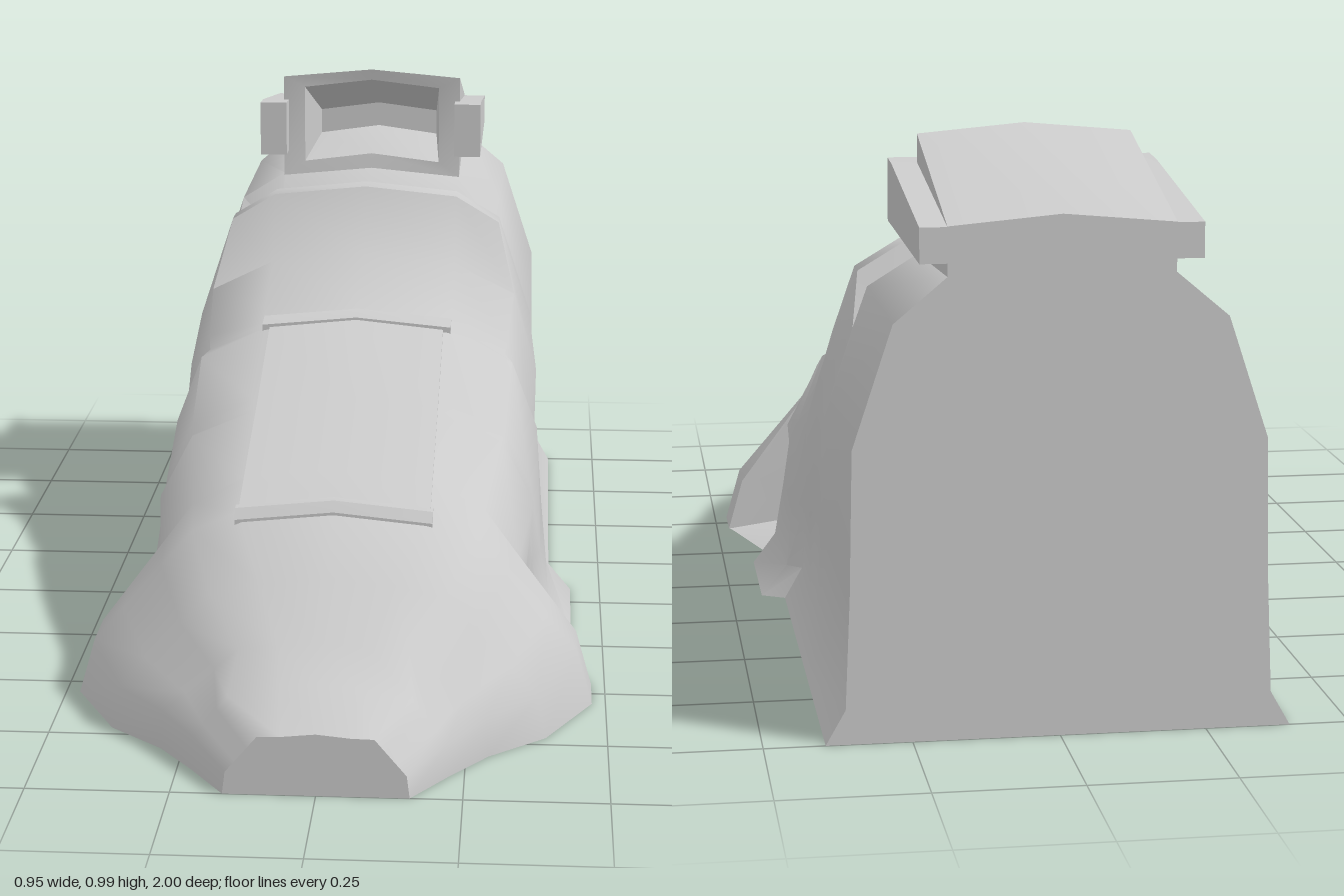
import * as THREE from 'three';
import { toCreasedNormals } from 'three/addons/utils/BufferGeometryUtils.js';

const material = new THREE.MeshStandardMaterial({ color: 0xcccccc });

// Skin a list of rings ({ z, pts }, counterclockwise seen from the front) and cap both ends.
function loft(rings, crease) {
  const n = rings[0].pts.length;
  const pos = [], index = [];
  for (const { z, pts } of rings) for (const [x, y] of pts) pos.push(x, y, z);
  for (let r = 0; r < rings.length - 1; r++) {
    for (let i = 0; i < n; i++) {
      const a = r * n + i, b = r * n + (i + 1) % n;
      index.push(a, a + n, b + n, a, b + n, b);
    }
  }
  const cap = (r, flip) => {
    const contour = rings[r].pts.map(p => new THREE.Vector2(p[0], p[1]));
    for (const [a, b, c] of THREE.ShapeUtils.triangulateShape(contour, [])) {
      const o = r * n;
      index.push(o + a, o + (flip ? c : b), o + (flip ? b : c));
    }
  };
  cap(0, false);
  cap(rings.length - 1, true);
  const geo = new THREE.BufferGeometry();
  geo.setAttribute('position', new THREE.Float32BufferAttribute(pos, 3));
  geo.setIndex(index);
  return toCreasedNormals(geo, crease);
}

// Complete a +x half profile (bottom to top centre) with its mirror image.
const ring = (z, ...half) => ({
  z, pts: [...half, ...half.slice(0, -1).reverse().map(([x, y]) => [-x, y])],
});

// Hull section: skirt base, flare, two flank points bowed out between flare and
// shoulder, shoulder, roof edge and roof crown.
function hullRing(z, base, [fx, fy], [sx, sy], edge, top, bow) {
  const flank = (t, k) => [
    THREE.MathUtils.lerp(fx, sx, t) + bow * k * (sy - fy),
    THREE.MathUtils.lerp(fy, sy, t),
  ];
  return ring(z, [base, 0], [fx, fy], flank(.3, .025), flank(.68, .065),
    [sx, sy], [edge, top - edge * .1], [0, top]);
}

function createHull() {
  // z, base half width, flare x, y, shoulder x, y, roof edge x, crown height
  const nose = [
    [1.00, .16, .155, .04, .10, .105, .06, .112],
    [0.90, .225, .22, .06, .16, .138, .07, .163],
    [0.81, .29, .285, .07, .15, .19, .08, .205],
    [0.72, .39, .375, .08, .21, .26, .12, .292],
    [0.55, .475, .445, .105, .26, .32, .175, .375],
    [0.45, .475, .445, .105, .27, .34, .177, .406],
  ].map(([z, base, fx, fy, sx, sy, edge, top]) =>
    hullRing(z, base, [fx, fy], [sx, sy], edge, top, 0));

  // Side notch behind the fender: z, base, shoulder x, y, crown
  const notch = [
    [0.445, .47, .27, .34, .407],
    [0.215, .40, .30, .40, .471],
  ].map(([z, base, sx, sy, top]) =>
    hullRing(z, base, [.343, .02], [sx, sy], .18, top, 2));

  // Side panels: z, base, flare x, shoulder x, y, crown
  const panels = [
    [0.205, .405, .375, .30, .40, .474],
    [0.17, .44, .395, .305, .41, .482],
    [-0.08, .44, .39, .315, .48, .562],
  ].map(([z, base, fx, sx, sy, top]) =>
    hullRing(z, base, [fx, .06], [sx, sy], .185, top, 1));

  // Rear body with the roof ridge and groove: z, shoulder x, y, crown
  const rear = [
    [-0.105, .30, .49, .566],
    [-0.14, .305, .51, .59],
    [-0.30, .315, .57, .65],
    [-0.375, .28, .705, .778],
    [-0.43, .28, .705, .778],
    [-0.485, .295, .61, .66],
    [-0.60, .28, .705, .78],
    [-1.00, .28, .71, .805],
  ].map(([z, sx, sy, top]) =>
    hullRing(z, .396, [.362, .06], [sx, sy], .19, top, 1));

  return loft(nose.concat(notch, panels, rear), 0.9);
}

export function createModel() {
  const model = new THREE.Group();
  model.name = 'vehicleShell';
  const add = (name, geo) => {
    const mesh = new THREE.Mesh(geo, material);
    mesh.name = name;
    model.add(mesh);
  };

  add('hull', createHull());

  // Canopy panel following the sloping roof, with a raised lip at each end
  const strip = (w, z, top) => ring(z, [w, top - .07], [w, top - .018], [0, top]);
  add('canopyPanel', loft([
    strip(.175, 0.54, .384), strip(.175, 0.45, .412),
    strip(.175, 0.20, .481), strip(.175, -0.07, .566),
  ], 0.4));
  add('canopyFrontLip', loft([
    strip(.18, 0.575, .368), strip(.18, 0.56, .386), strip(.18, 0.543, .387),
  ], 0.4));
  add('canopyRearLip', loft([
    strip(.19, -0.073, .57), strip(.19, -0.10, .573), strip(.19, -0.12, .577),
  ], 0.4));

  // Intake hood: one skin from the cavity's back wall, round the rim, to the outer rear
  const mouth = (z, w, bottom, top) => ({
    z,
    pts: [[0, bottom + .018], [w, bottom], [w, top - .017], [0, top],
      [-w, top - .017], [-w, bottom]],
  });
  add('intakeHood', loft([
    mouth(-0.88, .13, .80, .87),
    mouth(-0.60, .145, .788, .967),
    mouth(-0.595, .19, .757, .99),
    mouth(-1.00, .19, .785, .886),
  ], 0.6));

  // Tapering side rails beside the hood
  for (const side of [1, -1]) {
    const rail = (z, y0, y1) => {
      const x0 = side * .208 - .028, x1 = side * .208 + .028;
      return { z, pts: [[x0, y0], [x1, y0], [x1, y1], [x0, y1]] };
    };
    add(side > 0 ? 'leftHoodRail' : 'rightHoodRail', loft([
      rail(-0.54, .812, .925), rail(-0.60, .812, .922), rail(-1.00, .808, .868),
    ], 0.4));
  }
  return model;
}
